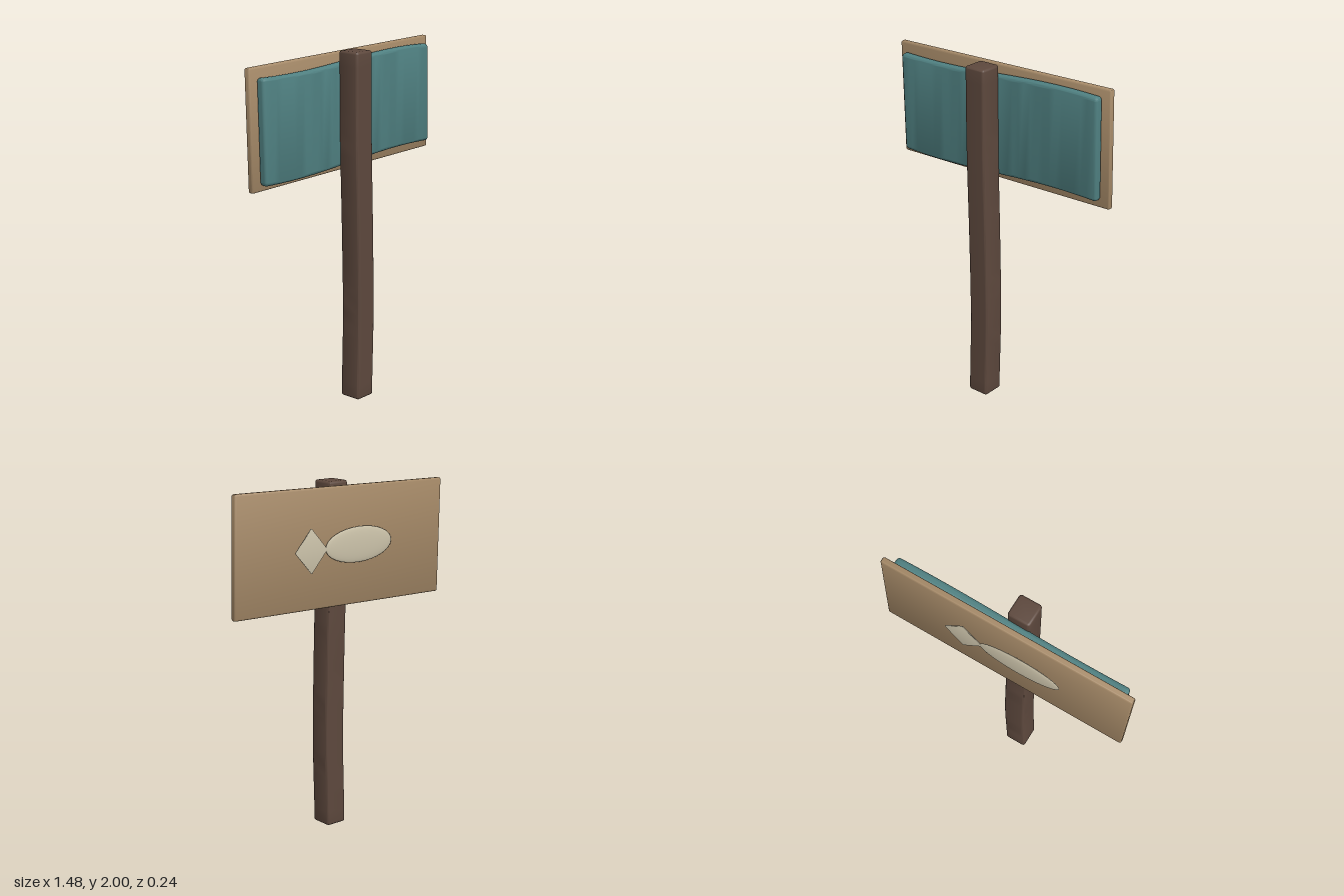
import * as THREE from 'three';
import { toCreasedNormals, mergeVertices } from 'three/addons/utils/BufferGeometryUtils.js';

const material = (name, color) => {
  const m = new THREE.MeshStandardMaterial({ color });
  m.name = name;
  return m;
};

// Soft-edged bar running along z, centred, with steps along its length for bending
function softBar(w, h, length, r, steps) {
  const x = w / 2, y = h / 2, c = r * 1.15;
  const s = new THREE.Shape();
  s.moveTo(-x + c, -y);
  s.lineTo(x - c, -y);
  s.absarc(x - c, -y + c, c, -Math.PI / 2, 0);
  s.lineTo(x, y - c);
  s.absarc(x - c, y - c, c, 0, Math.PI / 2);
  s.lineTo(-x + c, y);
  s.absarc(-x + c, y - c, c, Math.PI / 2, Math.PI);
  s.lineTo(-x, -y + c);
  s.absarc(-x + c, -y + c, c, Math.PI, Math.PI * 1.5);
  const g = new THREE.ExtrudeGeometry(s, {
    depth: length - 2 * r, steps, curveSegments: 4,
    bevelEnabled: true, bevelThickness: r, bevelSize: r, bevelOffset: -r, bevelSegments: 4,
  });
  return g.translate(0, 0, r - length / 2);
}

// Moves every vertex by a rule, then smooths all but the sharp edges
function bend(g, rule) {
  const p = g.attributes.position, v = new THREE.Vector3();
  for (let i = 0; i < p.count; i++) {
    rule(v.fromBufferAttribute(p, i));
    p.setXYZ(i, v.x, v.y, v.z);
  }
  return toCreasedNormals(g, 0.6);
}

export function createModel() {
  const group = new THREE.Group();
  const darkWood = material('darkWood', 0x5d483d);
  const paleWood = material('paleWood', 0xa68a68);
  const teal = material('tealPaint', 0x4f8081);
  const cream = material('creamPaint', 0xcdc4ab);
  const add = (name, geometry, mat) => {
    const mesh = new THREE.Mesh(geometry, mat);
    mesh.name = name;
    group.add(mesh);
    return mesh;
  };

  // Slightly crooked post
  const sway = new THREE.SplineCurve([-0.025, -0.014, -0.022, -0.035, -0.038]
    .map((x, i) => new THREE.Vector2(x, i / 2)));
  const post = softBar(0.132, 0.134, 2, 0.014, 28).rotateX(-Math.PI / 2).translate(0, 1, 0.053);
  add('post', bend(post, (v) => {
    v.x += sway.getPoint(THREE.MathUtils.clamp(v.y / 2, 0, 1)).x;
  }), darkWood);

  // Tilted backing board
  const board = softBar(0.036, 0.665, 1.466, 0.01, 1).rotateY(Math.PI / 2);
  const boardMesh = add('backingBoard', toCreasedNormals(board, 0.6), paleWood);
  boardMesh.position.set(0, 1.6525, -0.078);
  boardMesh.rotation.z = 0.0215;

  // Wavy painted panel between board and post
  const panel = softBar(0.055, 0.575, 1.366, 0.018, 32).rotateY(Math.PI / 2);
  const panelMesh = add('paintedPanel', bend(panel, (v) => {
    const wave = 0.025 * Math.sin(v.x * Math.PI);
    v.x -= 0.0215 * v.y;
    v.y += wave;
  }), teal);
  panelMesh.position.set(0, 1.65, -0.0335);

  // Fish emblem on the back: flattened body and diamond tail
  const body = add('fishBody', new THREE.SphereGeometry(1, 24, 16), cream);
  body.scale.set(0.24, 0.1, 0.0125);
  body.position.set(-0.103, 1.655, -0.1095);

  let tail = new THREE.BoxGeometry(1, 1, 1).rotateZ(Math.PI / 4)
    .scale(0.218 / Math.SQRT2, 0.245 / Math.SQRT2, 0.01);
  tail.deleteAttribute('uv');
  tail.deleteAttribute('normal');
  tail = mergeVertices(tail);
  tail.computeVertexNormals();
  add('fishTail', tail, cream).position.set(0.236, 1.653, -0.11);

  return group;
}
